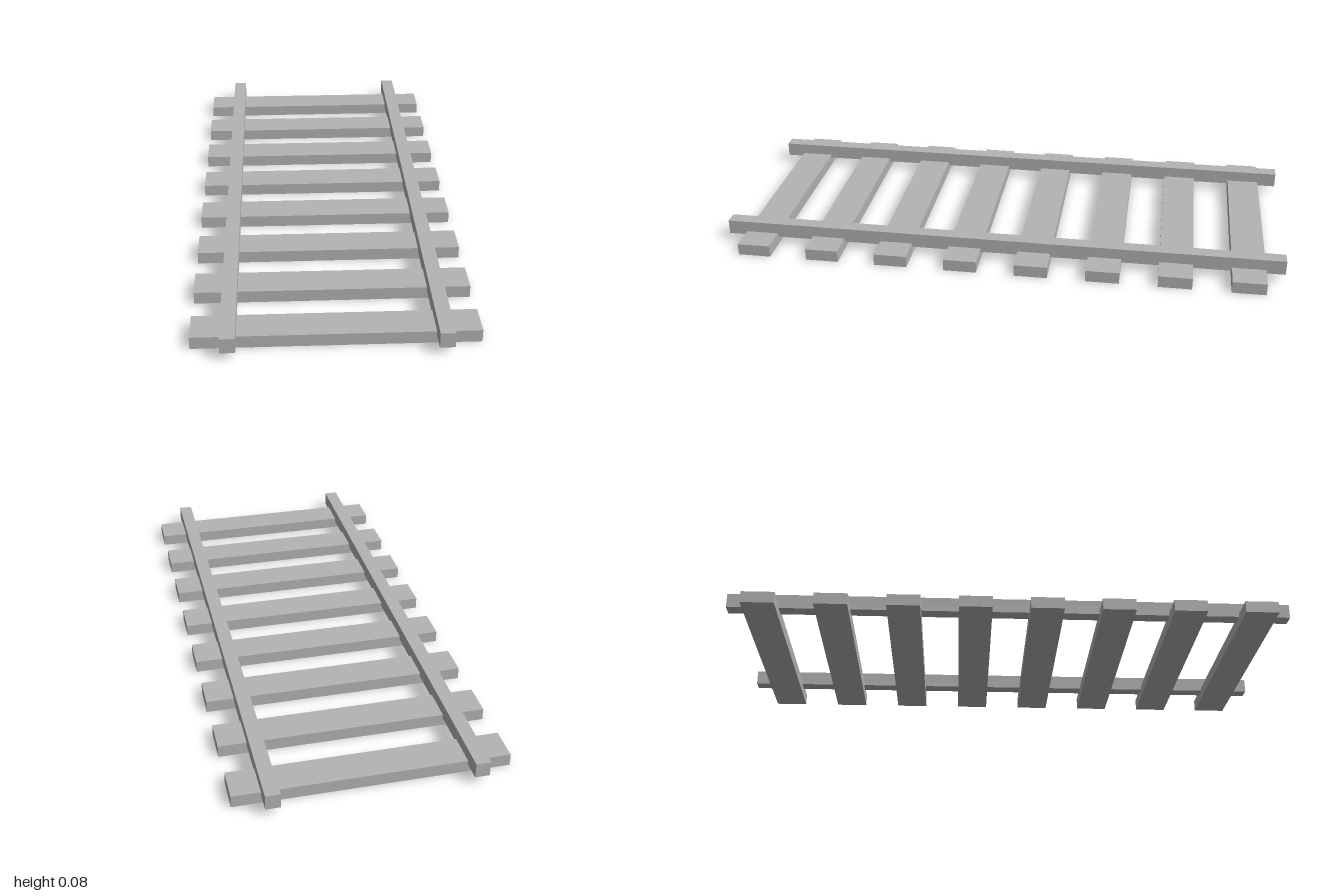
import * as THREE from 'three';

export function createModel() {
  const group = new THREE.Group();
  group.name = 'railTrack';
  const grey = new THREE.MeshStandardMaterial({ color: 0xb4b4b4 });
  grey.name = 'grey';

  const addBox = (name, size, position) => {
    const mesh = new THREE.Mesh(new THREE.BoxGeometry(...size), grey);
    mesh.name = name;
    mesh.position.set(...position);
    group.add(mesh);
  };

  // Evenly spaced cross ties resting on the ground
  const tieCount = 8, spacing = 0.25, tieHeight = 0.042;
  for (let i = 0; i < tieCount; i++) {
    const z = (i - (tieCount - 1) / 2) * spacing;
    addBox(`tie${i + 1}`, [0.914, tieHeight, 0.117], [0, tieHeight / 2, z]);
  }

  // Two rails sunk slightly into the ties
  const railBottom = 0.029, railTop = 0.081;
  for (const [name, side] of [['leftRail', 1], ['rightRail', -1]]) {
    addBox(name, [0.049, railTop - railBottom, 2], [side * 0.337, (railBottom + railTop) / 2, 0]);
  }

  return group;
}
